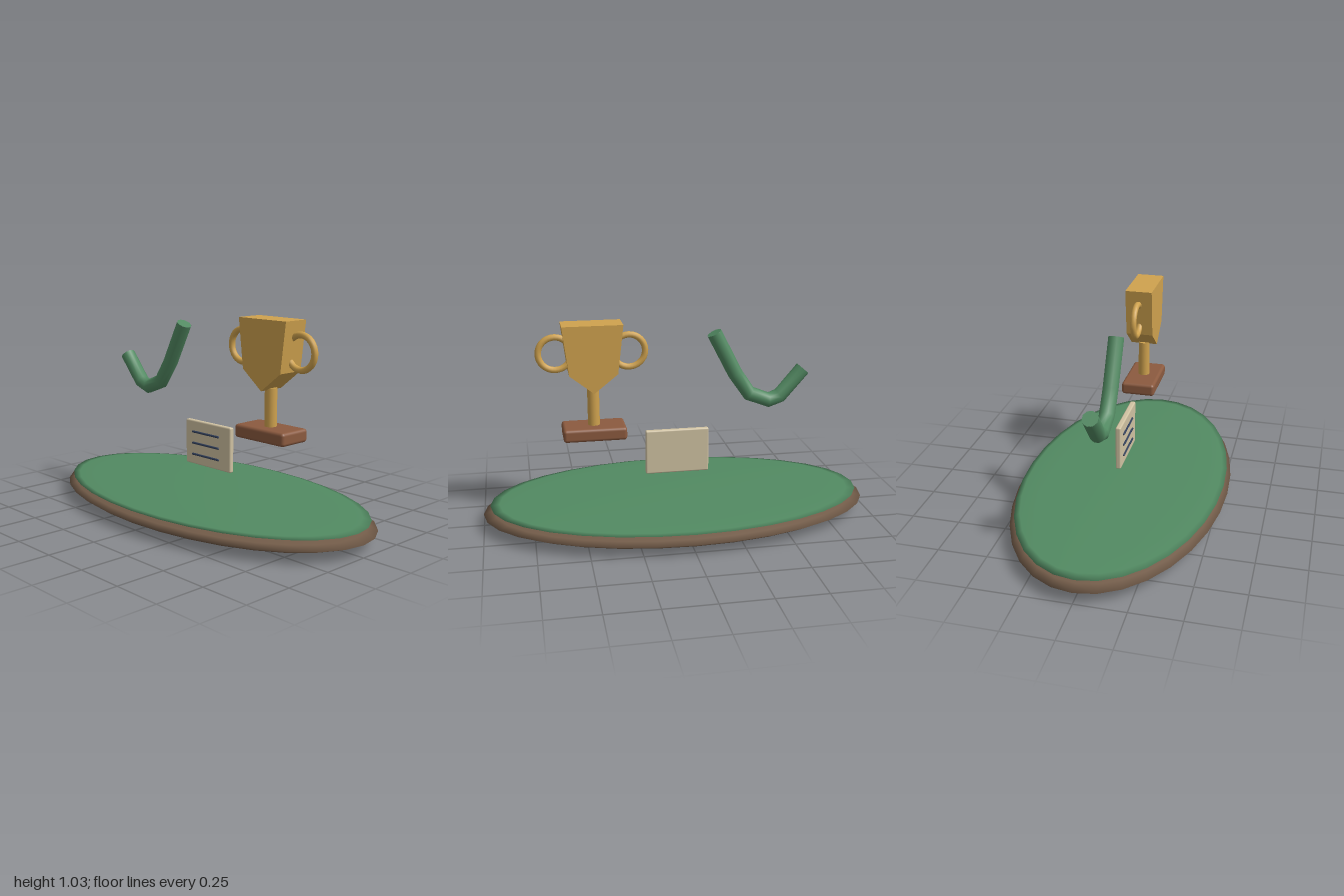
import * as THREE from 'three';
import { RoundedBoxGeometry } from 'three/addons/geometries/RoundedBoxGeometry.js';

const COLORS = {
  earth: 0x735c49, green: 0x528a62, gold: 0xcfa24e,
  wood: 0x8b5a3f, paper: 0xd0c2a2, ink: 0x33415c,
};

function part(name, geometry, color, x = 0, y = 0, z = 0) {
  const mesh = new THREE.Mesh(geometry, new THREE.MeshStandardMaterial({ color }));
  mesh.name = name;
  mesh.position.set(x, y, z);
  return mesh;
}

// Flattened ellipsoid used for both layers of the stand
function disc(name, color, y, rx, ry, rz) {
  const geometry = new THREE.SphereGeometry(1, 32, 10);
  geometry.scale(rx, ry, rz);
  return part(name, geometry, color, 0, y, 0);
}

// Trophy: pentagonal cup, two ring handles, stem and plinth
function createTrophy() {
  const trophy = new THREE.Group();
  trophy.name = 'trophy';
  trophy.position.x = 0.425;

  const outline = new THREE.Shape([
    [-0.15, 1.03], [-0.12, 0.785], [0, 0.69], [0.12, 0.785], [0.15, 1.03],
  ].map(([x, y]) => new THREE.Vector2(x, y)));
  const cup = new THREE.ExtrudeGeometry(outline, { depth: 0.14, bevelEnabled: false });
  trophy.add(part('cup', cup, COLORS.gold, 0, 0, -0.07));

  for (const side of [-1, 1]) {
    const ring = new THREE.TorusGeometry(0.082, 0.016, 10, 32);
    trophy.add(part(side > 0 ? 'leftHandle' : 'rightHandle', ring, COLORS.gold, side * 0.183, 0.885));
  }
  trophy.add(part('stem', new THREE.CylinderGeometry(0.03, 0.03, 0.2, 16), COLORS.gold, 0, 0.6));
  trophy.add(part('plinth', new RoundedBoxGeometry(0.318, 0.066, 0.178, 3, 0.016), COLORS.wood, 0, 0.479));
  return trophy;
}

// Note card with three raised lines on the front
function createCard() {
  const card = new THREE.Group();
  card.name = 'noteCard';
  card.add(part('sheet', new RoundedBoxGeometry(0.33, 0.234, 0.028, 2, 0.008), COLORS.paper, -0.002, 0.343));
  for (const y of [0.28, 0.34, 0.4]) {
    const line = new THREE.CapsuleGeometry(0.006, 0.188, 4, 8).rotateZ(Math.PI / 2);
    card.add(part('writtenLine', line, COLORS.ink, -0.016, y, 0.016));
  }
  return card;
}

// Thick bent tick mark with closed ends
function createTick() {
  const tick = new THREE.Group();
  tick.name = 'tickMark';
  const points = [
    [-0.663, 0.751], [-0.543, 0.612], [-0.484, 0.591],
    [-0.38, 0.631], [-0.304, 0.741], [-0.192, 0.957],
  ].map(([x, y]) => new THREE.Vector3(x, y, 0));
  const curve = new THREE.CatmullRomCurve3(points);
  curve.getUtoTmapping = (u) => u; // one tube ring at each point
  const radius = 0.039;
  tick.add(part('tickTube', new THREE.TubeGeometry(curve, points.length - 1, radius, 10), COLORS.green));

  for (const end of [0, 1]) {
    const cap = part('tickEnd', new THREE.CircleGeometry(radius, 10), COLORS.green);
    cap.position.copy(curve.getPoint(end));
    const outward = curve.getTangent(end).multiplyScalar(end ? 1 : -1);
    cap.quaternion.setFromUnitVectors(new THREE.Vector3(0, 0, 1), outward);
    tick.add(cap);
  }
  return tick;
}

export function createModel() {
  const model = new THREE.Group();
  model.name = 'trophyIsland';
  model.add(
    disc('earthBase', COLORS.earth, 0.06, 1, 0.06, 0.545),
    disc('grassTop', COLORS.green, 0.104, 0.965, 0.018, 0.524),
    createTrophy(),
    createCard(),
    createTick(),
  );
  return model;
}
